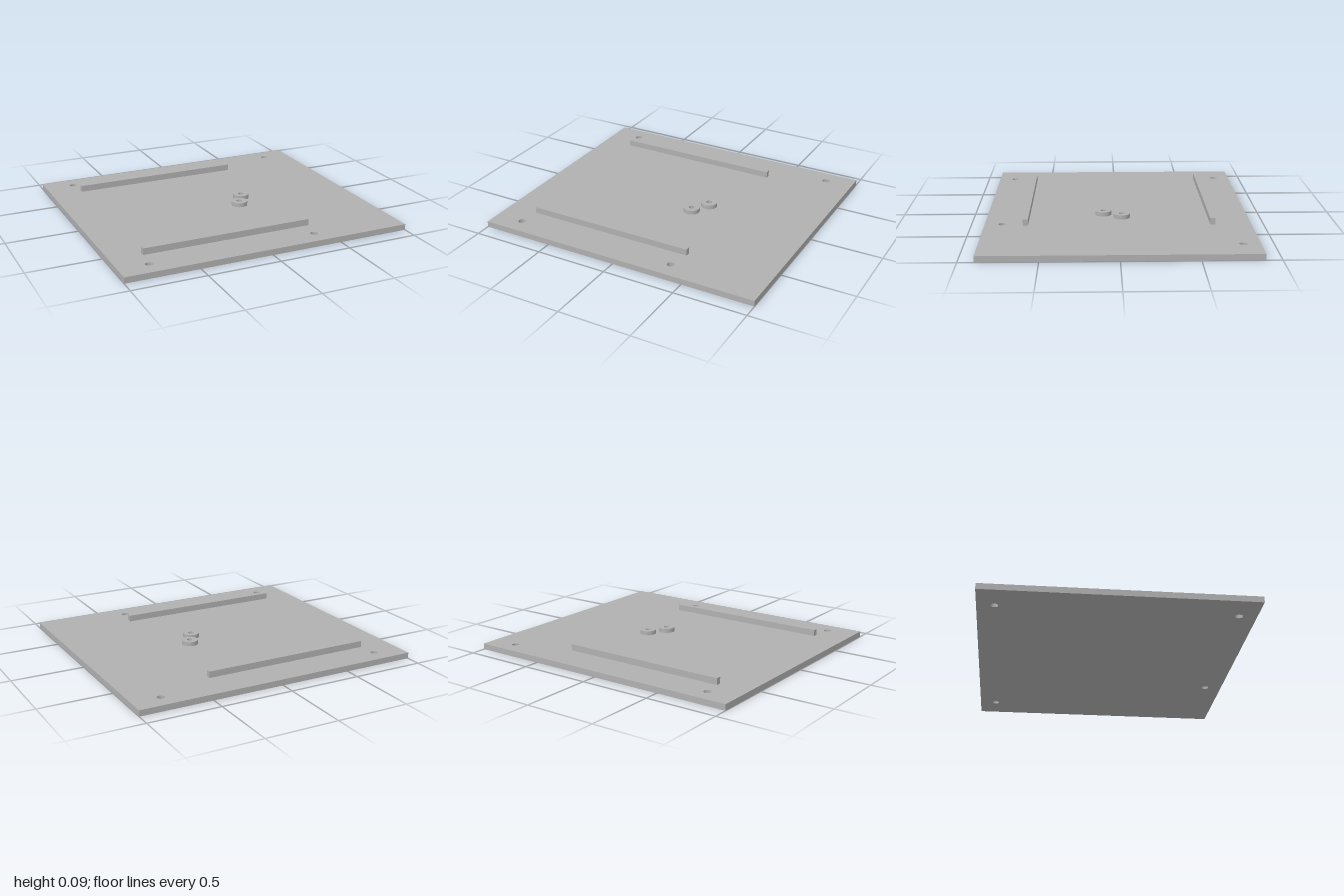
import * as THREE from 'three';

const PLATE = 0.041; // plate thickness

// Flat sheet lying on its back: shape y becomes -z, extruded upward
function slab(shape, height, y, material, name) {
  const geo = new THREE.ExtrudeGeometry(shape, { depth: height, bevelEnabled: false, curveSegments: 32 });
  geo.rotateX(-Math.PI / 2);
  const mesh = new THREE.Mesh(geo, material);
  mesh.position.y = y;
  mesh.name = name;
  return mesh;
}

function circle(x, z, r) {
  return new THREE.Path().absarc(x, -z, r, 0, Math.PI * 2, true);
}

export function createModel() {
  const group = new THREE.Group();
  group.name = 'mountingPlate';
  const grey = new THREE.MeshStandardMaterial({ color: 0xb0b0b0 });
  grey.name = 'grey';

  // Base plate with four screw holes
  const w = 1, d = 0.896;
  const outline = new THREE.Shape([
    new THREE.Vector2(-w, -d), new THREE.Vector2(w, -d),
    new THREE.Vector2(w, d), new THREE.Vector2(-w, d),
  ]);
  for (const [x, z] of [[-0.797, -0.782], [0.805, -0.782], [-0.797, 0.778], [0.363, 0.778]]) {
    outline.holes.push(circle(x, z, 0.025));
  }
  group.add(slab(outline, PLATE, 0, grey, 'basePlate'));

  // Two long rails
  for (const [name, z] of [['backRail', -0.636], ['frontRail', 0.62]]) {
    const rail = new THREE.Mesh(new THREE.BoxGeometry(1.182, 0.044, 0.035), grey);
    rail.position.set(-0.19, PLATE + 0.022, z);
    rail.name = name;
    group.add(rail);
  }

  // Two round bosses with blind centre holes
  for (const [name, x, z] of [['backBoss', 0.223, -0.029], ['frontBoss', 0.151, 0.096]]) {
    const ring = new THREE.Shape().absarc(0, 0, 0.056, 0, Math.PI * 2, false);
    ring.holes.push(circle(0, 0, 0.02));
    const boss = slab(ring, 0.029, PLATE, grey, name);
    boss.position.x = x;
    boss.position.z = z;
    group.add(boss);
  }
  return group;
}
